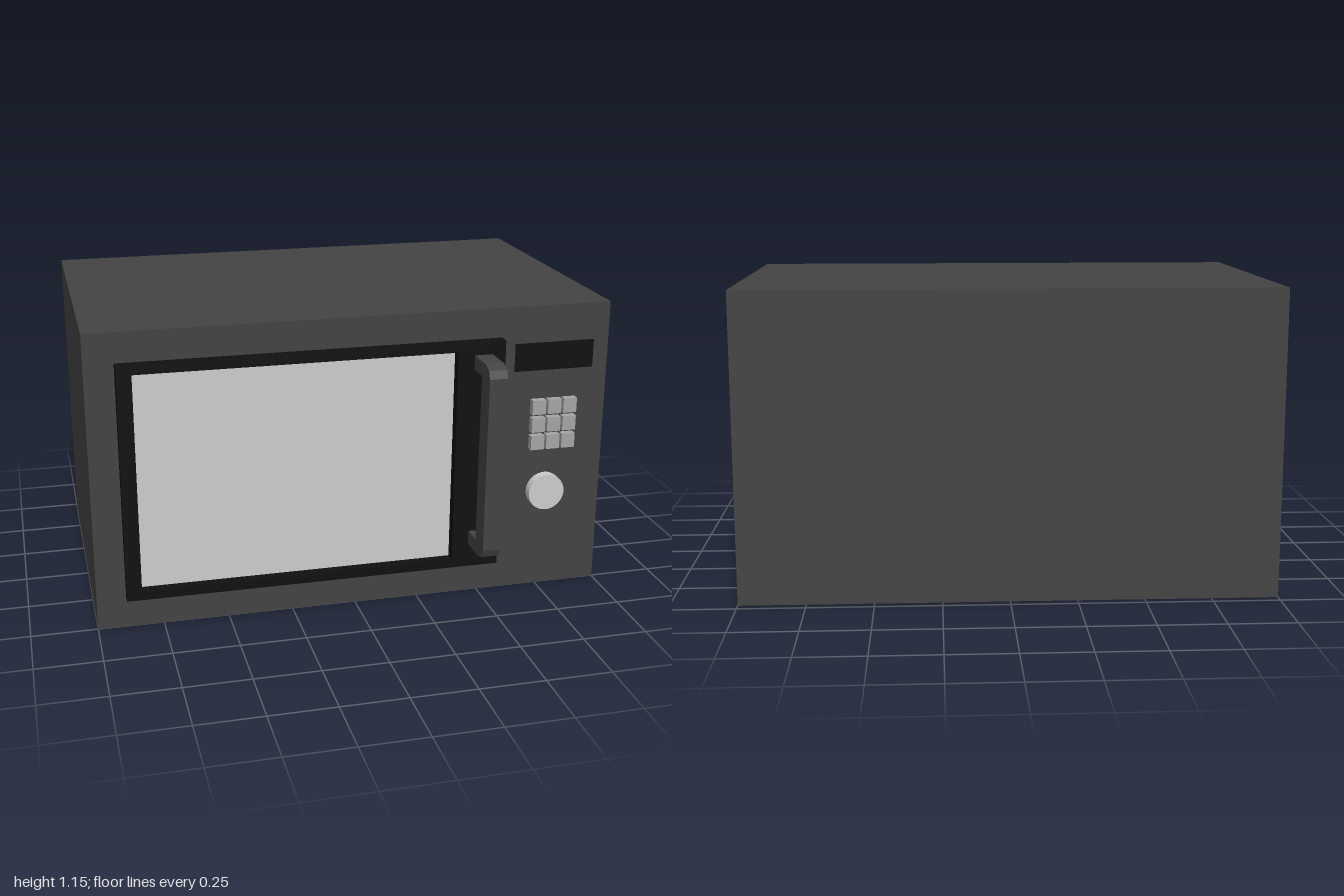
import * as THREE from 'three';

const mat = (color) => new THREE.MeshStandardMaterial({ color });

// Closed rectangle path from its edges
function rect(target, x0, x1, y0, y1) {
  target.moveTo(x0, y0);
  target.lineTo(x1, y0);
  target.lineTo(x1, y1);
  target.lineTo(x0, y1);
  target.closePath();
  return target;
}

export function createModel() {
  const model = new THREE.Group();
  model.name = 'microwaveOven';
  const casing = mat(0x434343), black = mat(0x101010);
  const pale = mat(0xcccccc), buttonGrey = mat(0xa5a5a5);
  const FRONT = 0.505;

  function add(parent, name, geometry, material) {
    const mesh = new THREE.Mesh(geometry, material);
    mesh.name = name;
    parent.add(mesh);
    return mesh;
  }
  // Box given by its extents on each axis
  function box(parent, name, material, x0, x1, y0, y1, z0, z1) {
    const mesh = add(parent, name, new THREE.BoxGeometry(x1 - x0, y1 - y0, z1 - z0), material);
    mesh.position.set((x0 + x1) / 2, (y0 + y1) / 2, (z0 + z1) / 2);
    return mesh;
  }

  // Casing
  box(model, 'body', casing, -1, 1, 0, 1.155, -0.715, FRONT);

  // Door: raised frame around a recessed window
  const door = new THREE.Group();
  door.name = 'door';
  model.add(door);
  const frame = rect(new THREE.Shape(), -0.89, 0.567, 0.125, 1.04);
  frame.holes.push(rect(new THREE.Path(), -0.833, 0.38, 0.16, 1.005));
  const frameGeo = new THREE.ExtrudeGeometry(frame, { depth: 0.043, bevelEnabled: false });
  add(door, 'doorFrame', frameGeo, black).position.z = FRONT;
  box(door, 'window', pale, -0.833, 0.38, 0.16, 1.005, FRONT - 0.01, FRONT + 0.003);

  // Handle: C-shaped side profile with clipped outer corners, drawn in (z, y)
  const profile = new THREE.Shape([
    [0.54, 0.22], [0.665, 0.22], [0.703, 0.233], [0.715, 0.262],
    [0.715, 0.945], [0.703, 0.975], [0.665, 0.99], [0.54, 0.99],
    [0.54, 0.935], [0.63, 0.935], [0.63, 0.275], [0.54, 0.275],
  ].map(([z, y]) => new THREE.Vector2(z, y)));
  const handleGeo = new THREE.ExtrudeGeometry(profile, { depth: 0.07, bevelEnabled: false });
  const handle = add(door, 'handle', handleGeo, casing);
  handle.rotation.y = -Math.PI / 2;
  handle.position.x = 0.515;

  // Control panel
  const controls = new THREE.Group();
  controls.name = 'controls';
  model.add(controls);
  box(controls, 'display', black, 0.622, 0.94, 0.9, 1.01, FRONT - 0.01, FRONT + 0.003);

  // Keypad
  for (let row = 0; row < 3; row++) {
    for (let col = 0; col < 3; col++) {
      const x = 0.721 + col * 0.063, y = 0.757 - row * 0.072;
      box(controls, 'button', buttonGrey, x - 0.027, x + 0.027, y - 0.029, y + 0.029, FRONT - 0.01, 0.533);
    }
  }

  // Dial
  const dial = add(controls, 'dial', new THREE.CylinderGeometry(0.073, 0.073, 0.05, 32), pale);
  dial.rotation.x = Math.PI / 2;
  dial.position.set(0.766, 0.405, 0.515);

  return model;
}
